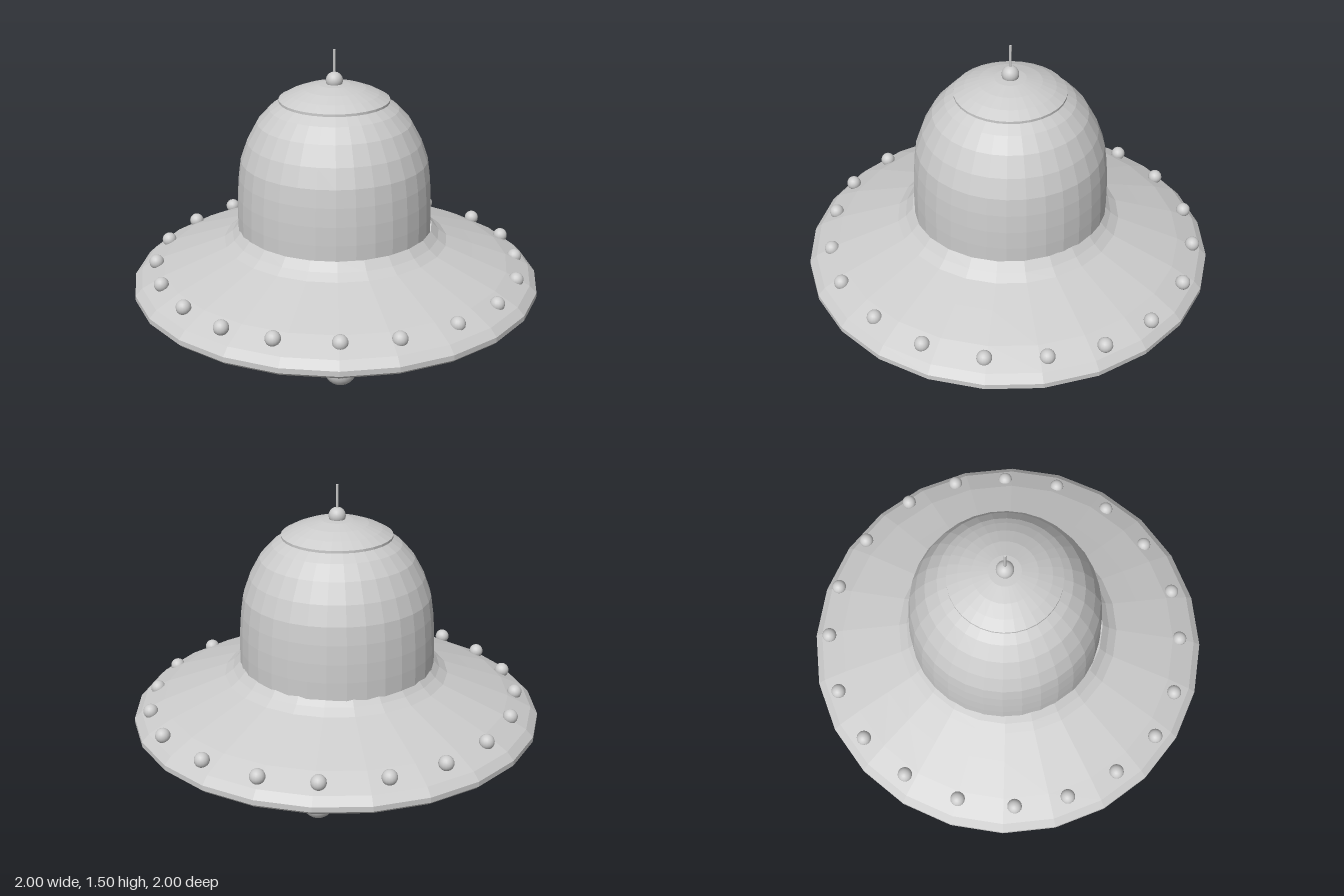
import * as THREE from 'three';

export function createModel() {
  const root = new THREE.Group();
  const flat = new THREE.MeshStandardMaterial({ color: 0xcccccc, flatShading: true, side: THREE.DoubleSide });
  const smooth = new THREE.MeshStandardMaterial({ color: 0xcccccc });

  function add(name, geometry, material, x = 0, y = 0, z = 0, parent = root) {
    const mesh = new THREE.Mesh(geometry, material);
    mesh.name = name;
    mesh.position.set(x, y, z);
    parent.add(mesh);
    return mesh;
  }
  // Profile points run from bottom to top as [radius, height]
  const lathe = (points, sides) =>
    new THREE.LatheGeometry(points.map(([r, y]) => new THREE.Vector2(r, y)), sides);

  // Wide saucer hull
  add('hull', lathe([
    [0.66, 0.225], [0.985, 0.32], [1, 0.335], [1, 0.36], [0.965, 0.395],
    [0.85, 0.452], [0.68, 0.513], [0.55, 0.56], [0.51, 0.59], [0.475, 0.63],
  ], 24), flat);

  // Hollow flared base, with its inner wall running up into the hull
  add('base', lathe([
    [0.44, 0.6], [0.42, 0.25], [0.36, 0.09], [0.31, 0], [0.35, 0],
    [0.41, 0.085], [0.52, 0.165], [0.6, 0.2], [0.69, 0.23],
  ], 32), flat, 0.015, 0, 0);

  // Dome with a separate lid
  const cx = -0.006, cz = -0.012;
  add('dome', lathe([
    [0.475, 0.6], [0.475, 0.7], [0.472, 0.79], [0.465, 0.88], [0.453, 0.965],
    [0.42, 1.058], [0.37, 1.15], [0.31, 1.215], [0.25, 1.255],
  ], 32), flat, cx, 0, cz);
  add('domeLid', lathe([
    [0.24, 1.25], [0.266, 1.25], [0.266, 1.262], [0.215, 1.29],
    [0.15, 1.315], [0.075, 1.332], [0, 1.337],
  ], 32), flat, cx, 0, cz);

  // Antenna
  add('antennaBall', new THREE.SphereGeometry(0.041, 20, 14), smooth, cx, 1.35, cz);
  add('antennaRod', new THREE.CylinderGeometry(0.006, 0.006, 0.12, 8), smooth, cx, 1.44, cz);

  // Slightly uneven ring of rim lights, as [x, z]
  const lights = [
    [-0.02, -0.92], [0.25, -0.89], [0.52, -0.765], [0.75, -0.55], [0.87, -0.305],
    [0.9, -0.035], [0.865, 0.245], [0.735, 0.51], [0.53, 0.71], [0.265, 0.85],
    [0.005, 0.885], [-0.285, 0.85], [-0.515, 0.75], [-0.7, 0.555], [-0.83, 0.315],
    [-0.885, 0.055], [-0.855, -0.225], [-0.74, -0.49], [-0.56, -0.705], [-0.32, -0.85],
  ];
  const lightGeometry = new THREE.SphereGeometry(0.036, 16, 12);
  const rim = new THREE.Group();
  rim.name = 'rimLights';
  root.add(rim);
  for (const [x, z] of lights) add('rimLight', lightGeometry, smooth, x, 0.437 - 0.012 * x, z, rim);

  // Landing pods: a tapered housing holding a ball
  const housing = lathe([
    [0, 0.192], [0.07, 0.192], [0.083, 0.2], [0.091, 0.225], [0.091, 0.255], [0, 0.255],
  ], 24);
  const ball = new THREE.SphereGeometry(0.076, 24, 16);
  for (const [x, z] of [[0.01, 0.7], [0.01, -0.69], [0.695, -0.06], [-0.68, -0.05]]) {
    const pod = new THREE.Group();
    pod.name = 'landingPod';
    pod.position.set(x, 0, z);
    root.add(pod);
    add('podHousing', housing, flat, 0, 0, 0, pod);
    add('podBall', ball, smooth, 0, 0.207, 0, pod);
  }
  return root;
}
